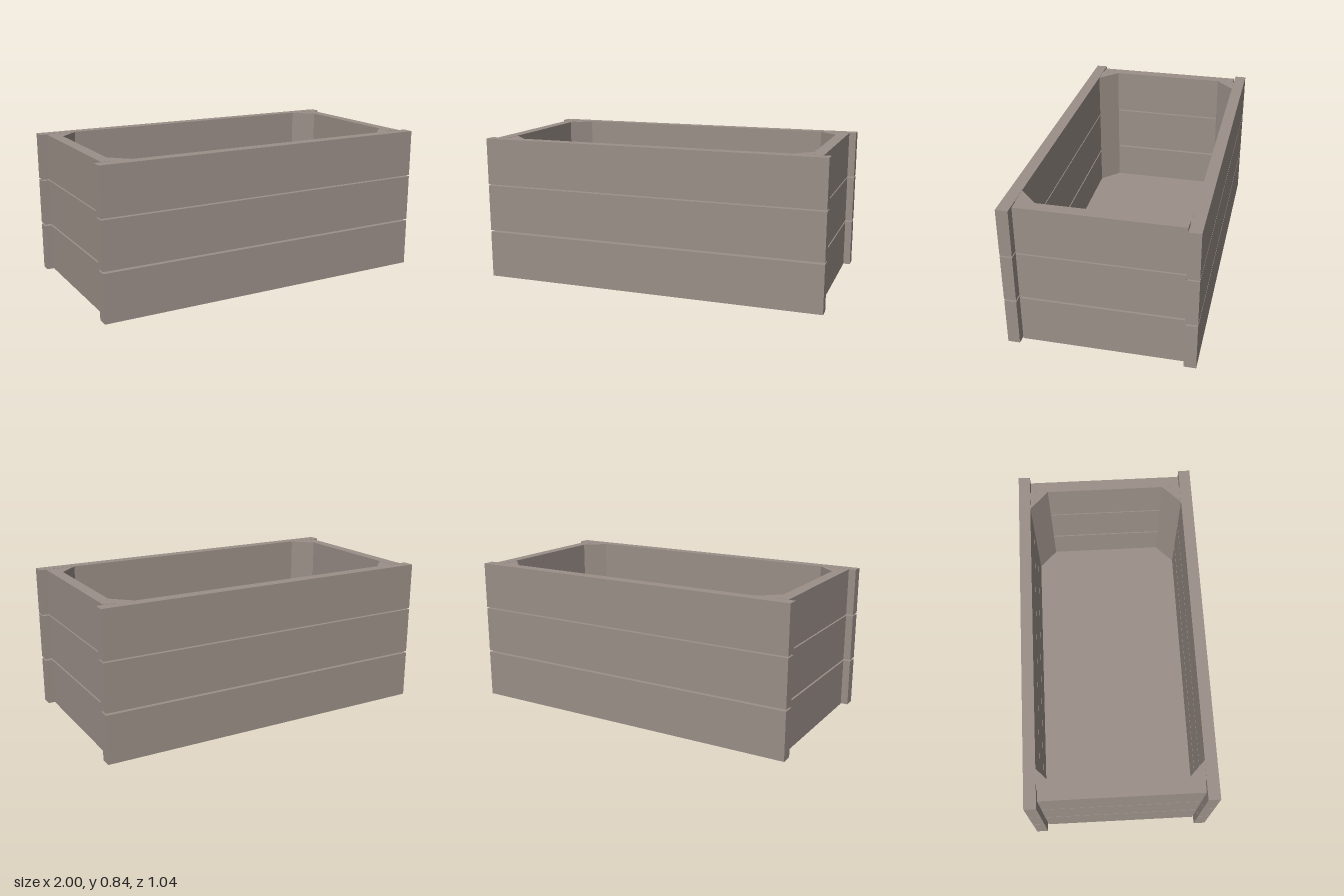
import * as THREE from 'three';

export function createModel() {
  const crate = new THREE.Group();
  crate.name = 'crate';
  const wood = new THREE.MeshStandardMaterial({ color: 0x9b8f88 });
  wood.name = 'weathered wood';

  const add = (name, geometry, x, y, z) => {
    const mesh = new THREE.Mesh(geometry, wood);
    mesh.name = name;
    mesh.position.set(x, y, z);
    crate.add(mesh);
    return mesh;
  };

  // Three rows of planks: [bottom, top], with narrow gaps between
  const rows = [[0, 0.275], [0.286, 0.557], [0.565, 0.837]];
  for (const [y0, y1] of rows) {
    const h = y1 - y0, y = (y0 + y1) / 2;
    for (const s of [1, -1]) {
      add(s > 0 ? 'frontPlank' : 'backPlank', new THREE.BoxGeometry(2, h, 0.067), 0, y, s * 0.485);
      add(s > 0 ? 'leftPlank' : 'rightPlank', new THREE.BoxGeometry(0.066, h, 0.892), s * 0.927, y, 0);
    }
  }

  // Triangular posts in the inside corners
  for (const sx of [1, -1]) {
    for (const sz of [1, -1]) {
      const corner = new THREE.Shape([
        new THREE.Vector2(sx * 0.894, -sz * 0.451),
        new THREE.Vector2(sx * 0.786, -sz * 0.451),
        new THREE.Vector2(sx * 0.894, -sz * 0.345),
      ]);
      const post = new THREE.ExtrudeGeometry(corner, { depth: 0.83, bevelEnabled: false });
      post.rotateX(-Math.PI / 2);
      add('cornerPost', post, 0, 0.006, 0);
    }
  }

  // Floor board, set just above the ground
  add('floor', new THREE.BoxGeometry(1.788, 0.05, 0.902), 0, 0.03, 0);

  return crate;
}
